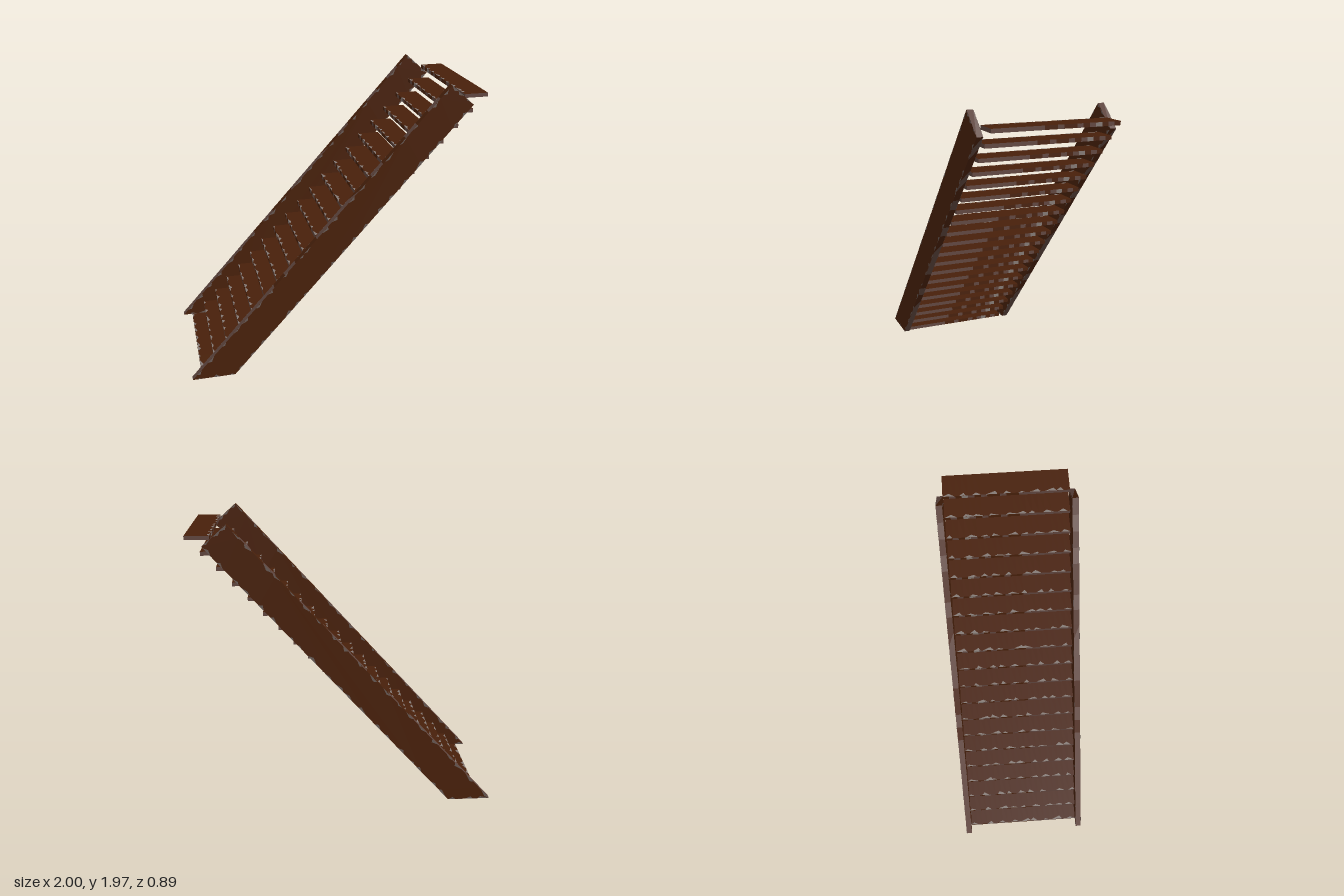
import * as THREE from 'three';

const mat = (name, color, side = THREE.FrontSide) => {
  const m = new THREE.MeshStandardMaterial({ color, side });
  m.name = name;
  return m;
};

// small seeded random
function seeded(seed) {
  let s = seed;
  return () => (s = (s * 16807) % 2147483647) / 2147483647;
}

// give each triangle a material index by a rule on its centroid and normal
function paint(source, rule) {
  const g = source.index ? source.toNonIndexed() : source;
  const p = g.attributes.position, n = g.attributes.normal;
  g.clearGroups();
  const c = new THREE.Vector3(), v = new THREE.Vector3(), nn = new THREE.Vector3();
  let start = 0, last = -1;
  for (let i = 0; i < p.count; i += 3) {
    c.set(0, 0, 0);
    for (let k = 0; k < 3; k++) c.addScaledVector(v.fromBufferAttribute(p, i + k), 1 / 3);
    const m = rule(c, nn.fromBufferAttribute(n, i));
    if (m !== last) {
      if (last >= 0) g.addGroup(start, i - start, last);
      start = i;
      last = m;
    }
  }
  g.addGroup(start, p.count - start, last);
  return g;
}

// flat worn chips along a line; 'inward' points onto the face
function chips(a, b, inward, count, depth, rand) {
  const out = [], dir = b.clone().sub(a), len = dir.length();
  for (let i = 0; i < count; i++) {
    const t = (i + 0.5 * rand()) / count, w = (0.04 + 0.045 * rand()) / len;
    const p = a.clone().addScaledVector(dir, t);
    const q = a.clone().addScaledVector(dir, Math.min(1, t + w));
    const r = p.clone().lerp(q, 0.2 + 0.6 * rand()).addScaledVector(inward, depth * (0.4 + 0.6 * rand()));
    out.push(p, q, r);
  }
  return out;
}

function chipMesh(points, material, name) {
  const g = new THREE.BufferGeometry().setFromPoints(points);
  g.computeVertexNormals();
  const m = new THREE.Mesh(g, material);
  m.name = name;
  return m;
}

export function createModel() {
  const model = new THREE.Group();
  model.name = 'staircase';
  const wood = mat('brown wood', 0x48200a);
  const edge = mat('worn edge', 0x60463f);
  const pale = mat('pale patch', 0x837974, THREE.DoubleSide);
  const chip = mat('grey chips', 0x665954, THREE.DoubleSide);
  const materials = [wood, edge, pale];

  // treads: brown boards with patchy worn edges
  const steps = 20, depth = 0.156, thick = 0.025, halfZ = 0.405;
  const patches = [0, 1, 0, 0, 1, 0, 1, 0];
  const treadGeo = paint(new THREE.BoxGeometry(depth, thick, halfZ * 2, 1, 1, 20), (c, n) => {
    if (Math.abs(n.y) > 0.5) return 0;
    if (Math.abs(n.z) > 0.5 || c.z > 0.07) return 1;
    if (c.z > -0.284 && c.z < -0.243) return 2;
    return patches[Math.floor((c.z + halfZ) / 0.0405) % patches.length];
  });
  for (let i = 0; i < steps; i++) {
    const tread = new THREE.Group();
    tread.name = 'tread' + (i + 1);
    const board = new THREE.Mesh(treadGeo, materials);
    board.name = 'treadBoard';
    const rand = seeded(101 + i * 37);
    const y = thick / 2 + 0.001, x = -depth / 2;
    const nose = chips(new THREE.Vector3(x, y, -halfZ), new THREE.Vector3(x, y, halfZ),
      new THREE.Vector3(1, 0, 0), 9, 0.024, rand);
    tread.add(board, chipMesh(nose, pale, 'treadChips'));
    tread.position.set(-0.857 + i * (1.779 / (steps - 1)), thick / 2 + i * 0.0982, 0);
    model.add(tread);
  }

  // stringers: slanted side boards, edges subdivided for worn patches
  const corners = [[-1, 0.025], [-0.71, 0.025], [0.89, 1.83], [0.735, 1.965]]
    .map(([x, y]) => new THREE.Vector2(x, y));
  const outline = [];
  corners.forEach((a, i) => {
    const b = corners[(i + 1) % 4], parts = i % 2 ? 24 : 1;
    for (let k = 0; k < parts; k++) outline.push(a.clone().lerp(b, k / parts));
  });
  const boardThick = 0.04;
  const stringerGeo = paint(
    new THREE.ExtrudeGeometry(new THREE.Shape(outline), { depth: boardThick, bevelEnabled: false }),
    (c, n) => {
      if (Math.abs(n.z) > 0.5) return 0;
      if (c.x < -0.4 || (c.x > -0.1 && c.x < 0.12)) return 1;
      return patches[Math.floor((c.x + 0.4) / 0.07) % patches.length];
    });

  for (const side of [1, -1]) {
    const stringer = new THREE.Group();
    stringer.name = side > 0 ? 'frontStringer' : 'backStringer';
    const board = new THREE.Mesh(stringerGeo, materials);
    board.name = 'stringerBoard';
    stringer.add(board);
    const rand = seeded(side > 0 ? 911 : 577);
    // chips on both broad faces
    for (const z of [-0.001, boardThick + 0.001]) {
      const points = [];
      corners.forEach((a, i) => {
        const b = corners[(i + 1) % 4], d = b.clone().sub(a).normalize();
        points.push(...chips(new THREE.Vector3(a.x, a.y, z), new THREE.Vector3(b.x, b.y, z),
          new THREE.Vector3(-d.y, d.x, 0), i % 2 ? 20 : 3, 0.02, rand));
      });
      stringer.add(chipMesh(points, chip, 'stringerChips'));
    }
    stringer.position.z = side > 0 ? halfZ : -halfZ - boardThick;
    model.add(stringer);
  }
  return model;
}
